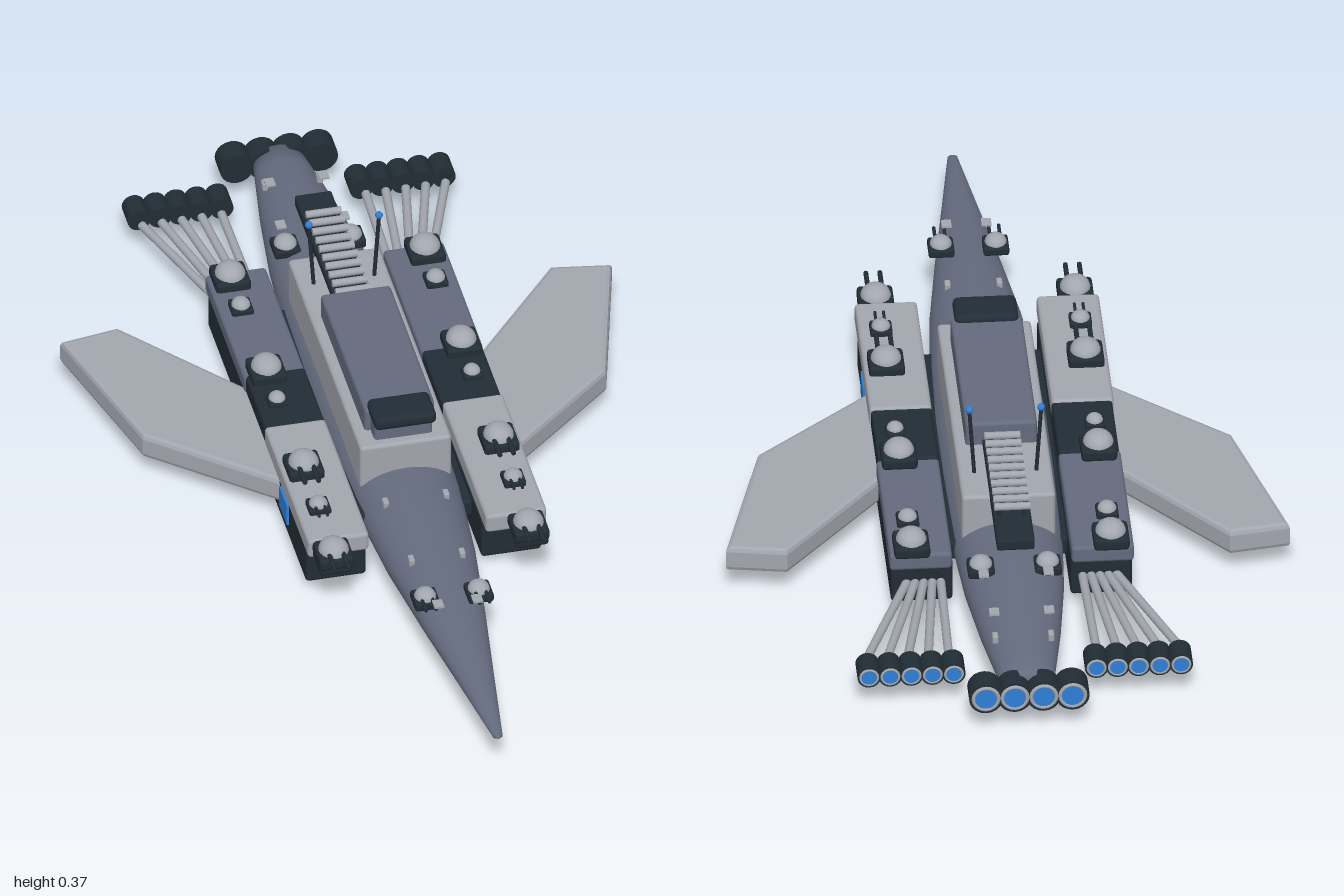
import * as THREE from 'three';
import { RoundedBoxGeometry } from 'three/addons/geometries/RoundedBoxGeometry.js';

const paint = (name, color, extra = {}) => {
  const m = new THREE.MeshStandardMaterial({ color, ...extra });
  m.name = name;
  return m;
};

export function createModel() {
  const slate = paint('slate hull', 0x646b7e);
  const light = paint('light grey', 0xa2a6ae);
  const dark = paint('dark armour', 0x222d35);
  const blue = paint('glow blue', 0x2f7fd8);

  const model = new THREE.Group();
  model.name = 'battleship';

  const add = (name, geo, mat, x = 0, y = 0, z = 0, parent = model) => {
    const mesh = new THREE.Mesh(geo, mat);
    mesh.name = name;
    mesh.position.set(x, y, z);
    parent.add(mesh);
    return mesh;
  };
  // Block given by its extents, with softened edges
  const block = (name, mat, [x0, x1], [y0, y1], [z0, z1], r = 0.008, parent = model) =>
    add(name, new RoundedBoxGeometry(x1 - x0, y1 - y0, z1 - z0, 2, r), mat,
      (x0 + x1) / 2, (y0 + y1) / 2, (z0 + z1) / 2, parent);
  // Rod between two points
  const rod = (name, mat, a, b, r, parent = model) => {
    const from = new THREE.Vector3(...a), to = new THREE.Vector3(...b);
    const dir = to.clone().sub(from);
    const mesh = add(name, new THREE.CylinderGeometry(r, r, dir.length(), 10), mat, 0, 0, 0, parent);
    mesh.position.copy(from).add(to).multiplyScalar(0.5);
    mesh.quaternion.setFromUnitVectors(new THREE.Vector3(0, 1, 0), dir.normalize());
    return mesh;
  };

  // Spindle hull, flattened in height
  const profile = [[0, -0.96], [0.05, -0.96], [0.06, -0.9], [0.08, -0.77], [0.1, -0.6], [0.111, -0.42],
    [0.115, -0.2], [0.115, 0], [0.108, 0.2], [0.092, 0.4], [0.066, 0.6], [0.037, 0.8], [0.01, 0.99], [0, 1]];
  const hull = new THREE.LatheGeometry(profile.map(p => new THREE.Vector2(...p)), 40);
  hull.rotateX(Math.PI / 2).scale(1, 0.65, 1);
  add('hull', hull, slate, 0, 0.08, 0);
  block('keel', dark, [-0.008, 0.008], [0, 0.02], [-0.4, 0.2], 0.003);

  // Superstructure
  block('superstructure', light, [-0.094, 0.094], [0.11, 0.215], [-0.46, 0.18]);
  block('upper deck', slate, [-0.072, 0.072], [0.205, 0.265], [-0.27, 0.125]);
  block('bridge', dark, [-0.064, 0.064], [0.25, 0.279], [0.1, 0.182], 0.012);
  block('bridge support', slate, [-0.06, 0.06], [0.205, 0.255], [0.11, 0.16]);

  // Aft gantry with cross bars
  block('aft gantry', dark, [-0.038, 0.038], [0.203, 0.228], [-0.645, -0.26], 0.005);
  for (let i = 0; i < 10; i++) {
    const z = -0.29 - i * 0.029;
    rod('gantry bar', light, [-0.036, 0.248, z], [0.036, 0.248, z], 0.008);
    for (const x of [-0.025, 0.025]) add('bar post', new THREE.BoxGeometry(0.008, 0.03, 0.008), dark, x, 0.235, z);
  }

  // Domed turret on a dark base, with twin barrels pointing forward
  const turret = (x, y, z, s, barrels) => {
    const g = new THREE.Group();
    g.name = 'turret';
    g.position.set(x, y, z);
    g.scale.setScalar(s);
    block('turret base', dark, [-0.036, 0.036], [-0.005, 0.022], [-0.038, 0.038], 0.008, g);
    const dome = new THREE.SphereGeometry(0.031, 20, 8, 0, Math.PI * 2, 0, Math.PI / 2).scale(1, 0.85, 1.1);
    add('turret dome', dome, light, 0, 0.019, 0, g);
    if (barrels) for (const bx of [-0.014, 0.014])
      rod('barrel', dark, [bx, 0.026, 0.015], [bx, 0.026, 0.075], 0.005, g);
    model.add(g);
  };

  // Engine nozzle facing aft: casing, rim and glowing disc
  const nozzle = (x, y, z, r, len) => {
    const g = new THREE.Group();
    g.name = 'engine';
    g.position.set(x, y, z);
    const casing = new THREE.CylinderGeometry(r, r, len, 20).rotateX(Math.PI / 2);
    add('engine casing', casing, dark, 0, 0, 0, g);
    add('engine rim', new THREE.TorusGeometry(r * 0.74, r * 0.12, 8, 20), light, 0, 0, -len / 2, g);
    add('engine glow', new THREE.CircleGeometry(r * 0.68, 20).rotateY(Math.PI), blue, 0, 0, -len / 2 - 0.002, g);
    model.add(g);
  };

  // Swept wing outline as x, z
  const wingPoints = [[0.2, 0.14], [0.243, 0.105], [0.476, -0.1], [0.566, -0.44], [0.444, -0.46], [0.243, -0.217], [0.2, -0.17]];

  for (const s of [-1, 1]) {
    const span = (a, b) => (s > 0 ? [a, b] : [-b, -a]);

    // Side pod with its three deck plates
    block('pod', dark, span(0.118, 0.242), [0.02, 0.112], [-0.535, 0.337]);
    block('front deck', light, span(0.12, 0.245), [0.105, 0.148], [-0.02, 0.37]);
    block('middle deck', dark, span(0.12, 0.242), [0.1, 0.143], [-0.2, -0.01]);
    block('rear deck', slate, span(0.12, 0.245), [0.1, 0.138], [-0.545, -0.19]);
    block('pod link', dark, span(0.07, 0.13), [0.06, 0.1], [-0.45, 0.25]);
    add('side light', new THREE.BoxGeometry(0.008, 0.048, 0.066), blue, s * 0.243, 0.079, 0.155);

    // Wing
    const outline = new THREE.Shape(wingPoints.map(([x, z]) => new THREE.Vector2(s * x, -z)));
    const wing = new THREE.ExtrudeGeometry(outline, {
      depth: 0.035, bevelEnabled: true, bevelThickness: 0.01, bevelSize: 0.01, bevelOffset: -0.01, bevelSegments: 2,
    }).rotateX(-Math.PI / 2);
    add('wing', wing, light, 0, 0.06, 0);

    // Pod turrets
    for (const [y, z, size, guns] of [[0.136, -0.515, 1, false], [0.136, -0.42, 0.62, false],
      [0.141, -0.195, 1, false], [0.141, -0.1, 0.55, false], [0.146, 0.135, 1, true],
      [0.146, 0.265, 0.62, true], [0.124, 0.4, 1, true]]) turret(s * 0.2, y, z, size, guns);
    block('turret shelf', dark, span(0.168, 0.235), [0.105, 0.13], [0.34, 0.435]);

    // Hull turrets and studs
    turret(s * 0.055, 0.125, 0.585, 0.72, true);
    turret(s * 0.067, 0.13, -0.6, 0.75, false);
    for (const [x, y, z] of [[0.062, 0.138, 0.265], [0.052, 0.13, 0.45], [0.056, 0.121, -0.83]])
      block('hull stud', light, span(x - 0.006, x + 0.006), [y - 0.012, y + 0.006], [z - 0.01, z + 0.01], 0.003);
    for (const [z, x] of [[0.635, 0.04], [-0.65, 0.065], [-0.79, 0.055]])
      add('sensor plate', new THREE.BoxGeometry(0.02, 0.004, 0.025), light, s * x, 0.154, z);

    // Antenna
    rod('antenna', dark, [s * 0.062, 0.21, -0.37], [s * 0.072, 0.36, -0.37], 0.004);
    add('antenna tip', new THREE.SphereGeometry(0.008, 12, 8), blue, s * 0.072, 0.364, -0.37);

    // Outer engine row on splayed struts
    for (let i = 0; i < 5; i++) {
      const x = 0.143 + i * 0.0425;
      nozzle(s * x, 0.072, -0.858, 0.0235, 0.055);
      rod('engine strut', light, [s * (0.142 + i * 0.016), 0.065, -0.52],
        [s * (0.148 + i * 0.041), 0.073, -0.815], 0.009);
    }
    // Main engines
    for (const x of [0.029, 0.087]) nozzle(s * x, 0.079, -0.967, 0.034, 0.05);
  }
  block('engine mount', dark, [-0.1, 0.1], [0.062, 0.096], [-0.975, -0.945], 0.005);

  return model;
}
